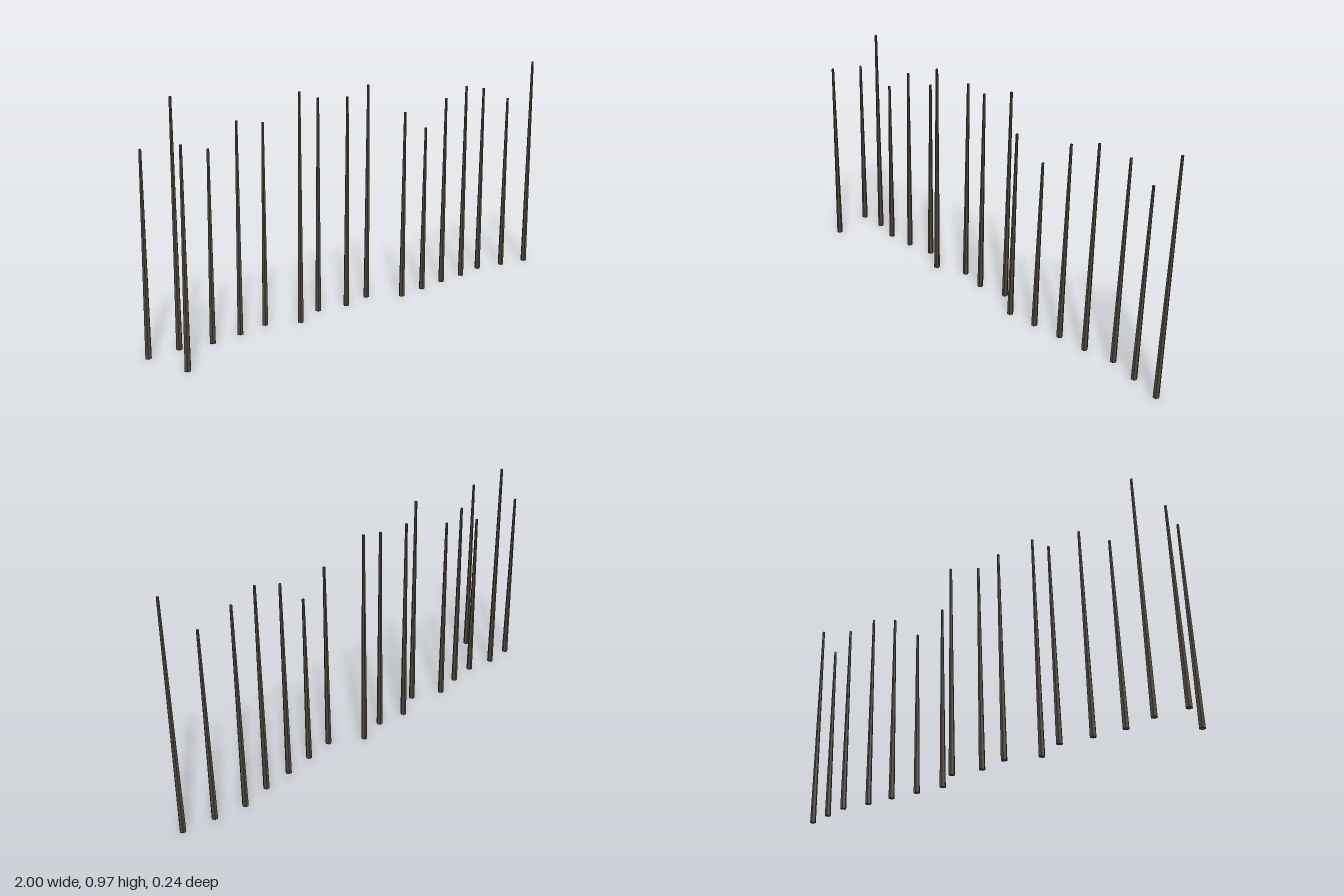
import * as THREE from 'three';

// Each post: height and z of its tip, in order from -x to +x
const ROW = [
  [0.795, -0.085], [0.97, -0.0925], [0.765, -0.068], [0.855, -0.081],
  [0.83, -0.106], [0.945, -0.044], [0.9, -0.107], [0.895, -0.085],
  [0.93, -0.116], [0.812, -0.032], [0.727, -0.05], [0.84, -0.068],
  [0.88, -0.08], [0.858, -0.106], [0.802, -0.082], [0.962, -0.058],
];
const LEAN_X = 0.0165, LEAN_Z = -0.006;

const wood = new THREE.MeshStandardMaterial({ color: 0x4d4639, flatShading: true });

// Tapered six-sided post, sheared so that its foot stays flat on the ground
function makePost(name, x, tipZ, height) {
  const geo = new THREE.CylinderGeometry(0.0055, 0.013, height, 6);
  geo.rotateY(Math.PI / 6);
  geo.translate(0, height / 2, 0);
  const shear = new THREE.Matrix4().set(
    1, LEAN_X / height, 0, 0,
    0, 1, 0, 0,
    0, LEAN_Z / height, 1, 0,
    0, 0, 0, 1);
  geo.applyMatrix4(shear);
  geo.computeVertexNormals();
  const post = new THREE.Mesh(geo, wood);
  post.name = name;
  post.position.set(x, 0, tipZ - LEAN_Z);
  return post;
}

export function createModel() {
  const group = new THREE.Group();
  group.name = 'postRow';

  // Evenly spaced row with uneven heights
  ROW.forEach(([height, z], i) => {
    group.add(makePost(`post${i + 1}`, -0.987 + i * 0.1309, z, height));
  });

  // Single post standing in front of the row
  group.add(makePost('frontPost', -0.923, 0.105, 0.834));
  return group;
}
